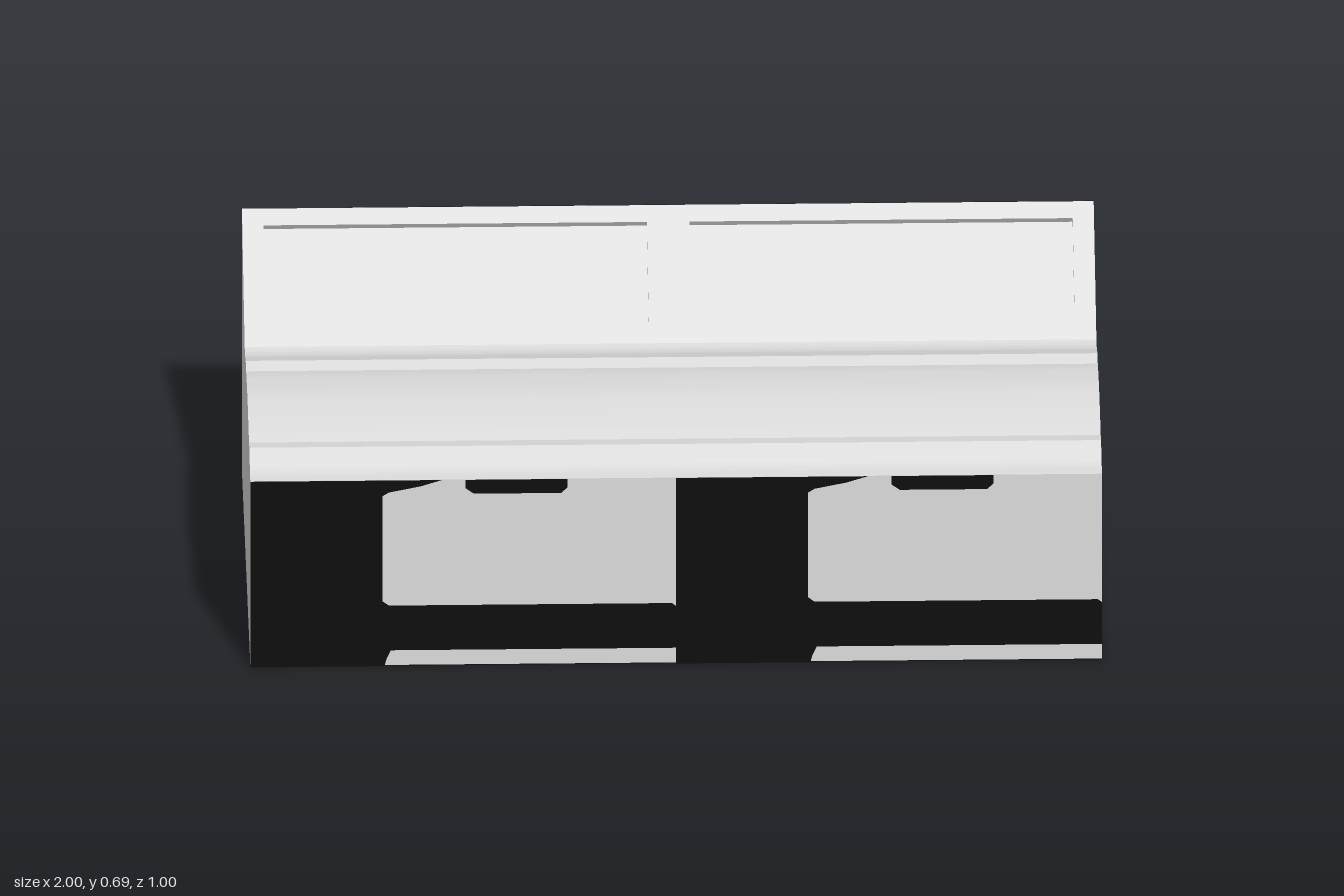
import * as THREE from 'three';
import { toCreasedNormals } from 'three/addons/utils/BufferGeometryUtils.js';

const lightGrey = new THREE.MeshStandardMaterial({ color: 0xdddddd });
lightGrey.name = 'light grey';
const black = new THREE.MeshStandardMaterial({ color: 0x0e0e0e, side: THREE.DoubleSide });
black.name = 'black';

const FRONT_HEIGHT = 0.49, BACK_HEIGHT = 0.695;
const SLOPE_START = 0.172, SLOPE_BASE = 0.499;
const SLOPE = (BACK_HEIGHT - SLOPE_BASE) / (0.5 - SLOPE_START);
const DROP = 0.019;   // vertical thickness of the sloped frame
const LEAN = 0.0085;  // backward lean of the recess walls, square to the slope
const GAP = 0.002;    // plate offset from the body
const points = (list) => list.map(([x, y]) => new THREE.Vector2(x, y));

function addMesh(group, name, geometry, material) {
  const mesh = new THREE.Mesh(geometry, material);
  mesh.name = name;
  group.add(mesh);
}

// Side profile, drawn from front to back, swept across the full width
function bodyGeometry() {
  const s = new THREE.Shape();
  s.moveTo(-0.5, GAP);
  s.lineTo(-0.5, FRONT_HEIGHT);
  s.splineThru(points([[-0.455, 0.492], [-0.42, 0.503], [-0.38, 0.517]]));
  s.lineTo(-0.34, 0.51);
  s.splineThru(points([[-0.29, 0.52], [-0.2, 0.531], [-0.13, 0.534], [-0.04, 0.527], [0.012, 0.517]]));
  s.lineTo(0.05, 0.525);
  s.splineThru(points([[0.09, 0.511], [0.12, 0.501], [0.15, 0.497], [SLOPE_START, SLOPE_BASE]]));
  s.lineTo(SLOPE_START, SLOPE_BASE - DROP);
  s.lineTo(0.5, BACK_HEIGHT - DROP);
  s.lineTo(0.5, GAP);
  s.closePath();
  const g = new THREE.ExtrudeGeometry(s, { depth: 2, bevelEnabled: false, curveSegments: 5 });
  g.rotateY(Math.PI / 2).translate(-1, 0, 0);
  return toCreasedNormals(g, 0.25);
}

// Sloped frame with two openings, sheared from a flat sheet
function frameGeometry() {
  const s = new THREE.Shape(points([[-1, SLOPE_START], [1, SLOPE_START], [1, 0.5], [-1, 0.5]]));
  for (const x of [-0.95, 0.05]) {
    s.holes.push(new THREE.Path(points([[x, 0.222], [x, 0.46], [x + 0.9, 0.46], [x + 0.9, 0.222]])));
  }
  const g = new THREE.ExtrudeGeometry(s, { depth: DROP, bevelEnabled: false });
  const p = g.attributes.position;
  for (let i = 0; i < p.count; i++) {
    let w = p.getY(i);
    const depth = p.getZ(i);
    const inOpening = Math.abs(p.getX(i)) < 0.97;
    if (inOpening && depth < DROP / 2) w += LEAN;
    p.setXYZ(i, p.getX(i), SLOPE_BASE + SLOPE * (w - SLOPE_START) + depth - DROP, -w);
  }
  g.computeVertexNormals();
  return g;
}

// Painted pattern in a unit tile: post, lower band and handle
function patternGeometry() {
  const postAndBand = new THREE.Shape(points([
    [0, 0], [0.315, 0], [0.32, 0.04], [0.33, 0.085], [1, 0.085], [1, 0.31], [0.99, 0.326],
    [0.325, 0.326], [0.31, 0.35], [0.31, 0.915], [0.325, 0.935], [0.4, 0.967], [0.45, 1], [0, 1],
  ]));
  const handle = new THREE.Shape(points([
    [0.505, 1], [0.505, 0.955], [0.525, 0.925], [0.73, 0.925], [0.745, 0.955], [0.745, 1],
  ]));
  return new THREE.ShapeGeometry([postAndBand, handle]);
}

export function createModel() {
  const model = new THREE.Group();
  model.name = 'counter';
  addMesh(model, 'body', bodyGeometry(), lightGrey);
  addMesh(model, 'slopedFrame', frameGeometry(), lightGrey);

  // Two pattern tiles on each of the front, back and underside
  const v = (x, y, z) => new THREE.Vector3(x, y, z);
  const pattern = patternGeometry();
  const addPlate = (name, origin, across, up, normal) => {
    const matrix = new THREE.Matrix4().makeBasis(across, up, normal).setPosition(origin);
    const g = pattern.clone().applyMatrix4(matrix);
    for (let i = 0; i < g.attributes.normal.count; i++) {
      g.attributes.normal.setXYZ(i, normal.x, normal.y, normal.z);
    }
    addMesh(model, name, g, black);
  };
  for (let i = 0; i < 2; i++) {
    addPlate('frontPanelPaint', v(-1 + i, 0, 0.5 + GAP), v(1, 0, 0), v(0, FRONT_HEIGHT, 0), v(0, 0, 1));
    addPlate('backPanelPaint', v(1 - i, 0, -0.5 - GAP), v(-1, 0, 0), v(0, BACK_HEIGHT, 0), v(0, 0, -1));
    // Rotated a quarter turn and flipped; its faces come out upward, so keep normals matched to winding
    addPlate('undersidePaint', v(1 - i, 0, 0.5), v(0, 0, -1), v(-1, 0, 0), v(0, 1, 0));
  }
  return model;
}
